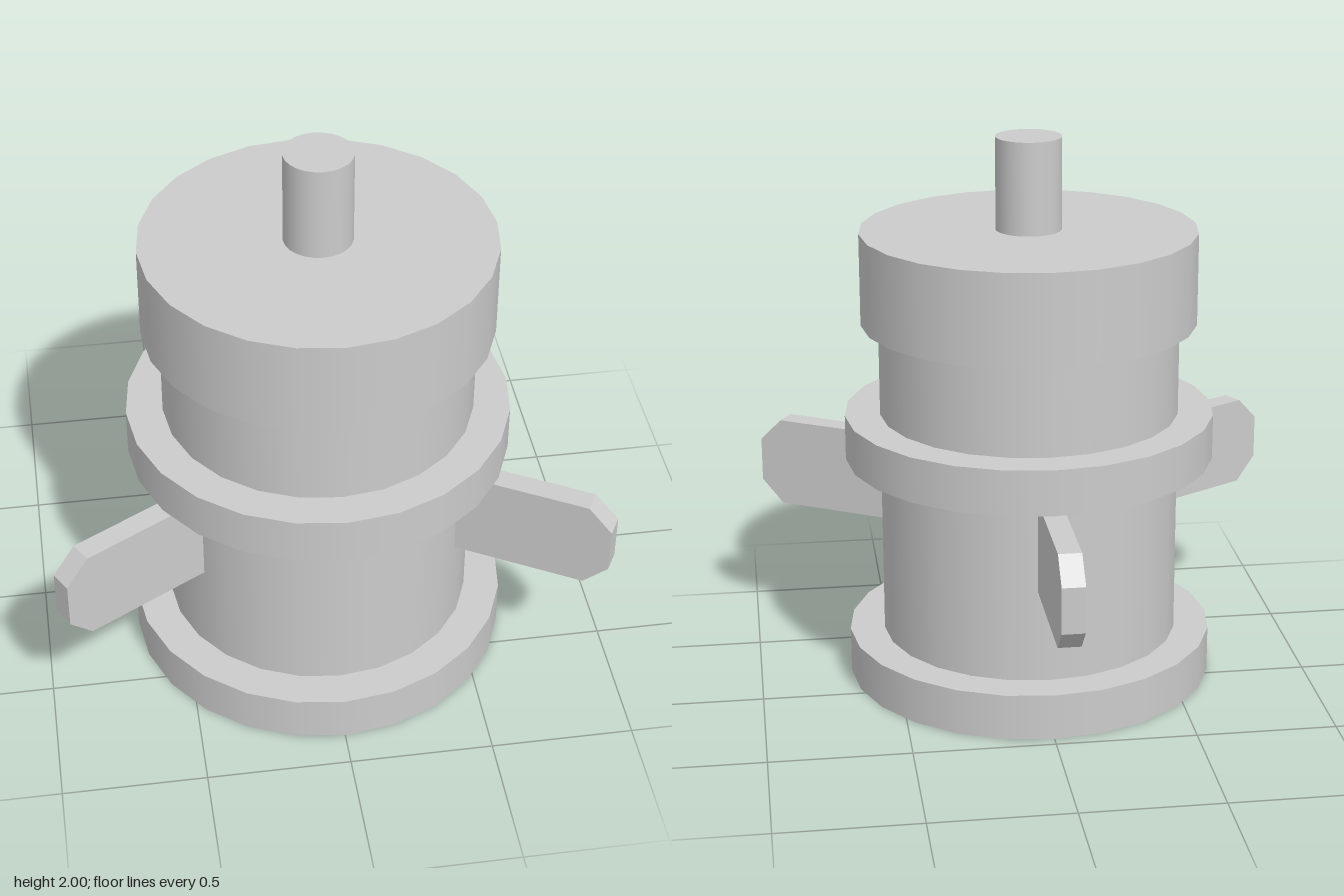
import * as THREE from 'three';

const AXIS_Z = 0.207; // the body sits forward of centre because one fin points back
const SIDES = 24;

export function createModel() {
  const model = new THREE.Group();
  model.name = 'finnedCanister';
  const material = new THREE.MeshStandardMaterial({ color: 0xcccccc });

  const assembly = new THREE.Group();
  assembly.name = 'assembly';
  assembly.position.z = AXIS_Z;
  model.add(assembly);

  // Stacked round parts: name, radius, bottom, top
  const drums = [
    ['baseFlange', 0.667, 0, 0.167],
    ['lowerBody', 0.54, 0.167, 0.835],
    ['middleCollar', 0.667, 0.835, 1.0],
    ['upperBody', 0.54, 1.0, 1.335],
    ['cap', 0.602, 1.335, 1.668],
    ['topShaft', 0.118, 1.668, 2.0],
  ];
  for (const [name, radius, bottom, top] of drums) {
    const geometry = new THREE.CylinderGeometry(radius, radius, top - bottom, SIDES);
    const drum = new THREE.Mesh(geometry, material);
    drum.name = name;
    drum.position.y = (bottom + top) / 2;
    assembly.add(drum);
  }

  // Flat fin with chamfered outer corners, drawn outward along x
  const inner = 0.45, outer = 1.087, low = 0.502, high = 0.835, chamfer = 0.085;
  const outline = new THREE.Shape([
    new THREE.Vector2(inner, low),
    new THREE.Vector2(outer - chamfer, low),
    new THREE.Vector2(outer, low + chamfer),
    new THREE.Vector2(outer, high - chamfer),
    new THREE.Vector2(outer - chamfer, high),
    new THREE.Vector2(inner, high),
  ]);
  const thickness = 0.08;
  const finGeometry = new THREE.ExtrudeGeometry(outline, { depth: thickness, bevelEnabled: false });
  finGeometry.translate(0, 0, -thickness / 2);

  // Three fins evenly spaced, the first pointing straight back
  ['backFin', 'rightFin', 'leftFin'].forEach((name, i) => {
    const fin = new THREE.Mesh(finGeometry, material);
    fin.name = name;
    fin.rotation.y = Math.PI / 2 + (i * Math.PI * 2) / 3;
    assembly.add(fin);
  });

  return model;
}
